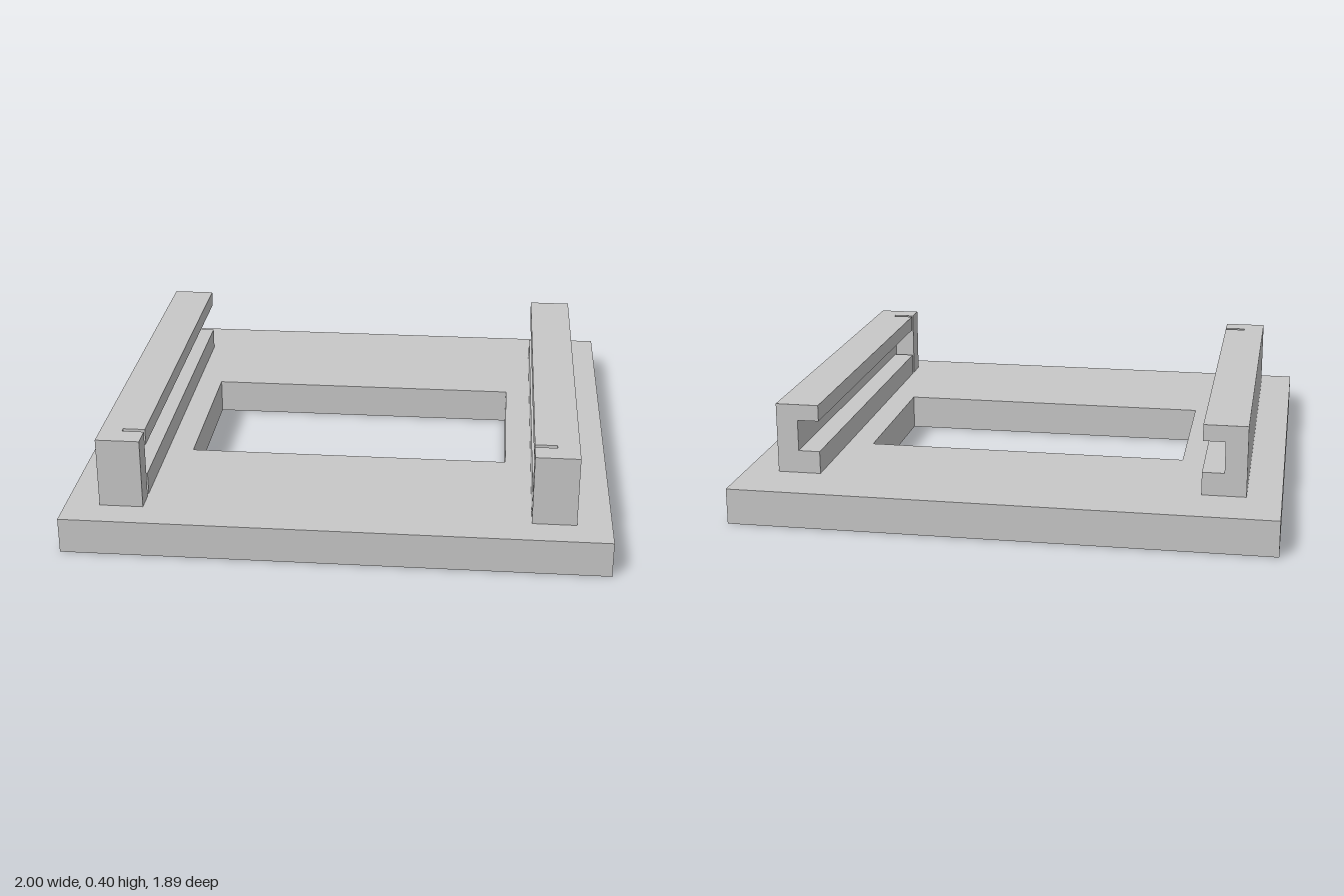
import * as THREE from 'three';

const grey = new THREE.MeshStandardMaterial({ color: 0xc7c7c7 });
grey.name = 'light grey';

const BASE_TOP = 0.134, RAIL_TOP = 0.399;
const INNER = 0.711, GROOVE = 0.792, OUTER = 0.873; // distances from the centre line
const BACK = -0.72, SLOT_BACK = 0.718, SLOT_FRONT = 0.738, FRONT = 0.822;

const toShape = (points) => new THREE.Shape(points.map(([x, y]) => new THREE.Vector2(x, y)));
const extrude = (shape, depth) => new THREE.ExtrudeGeometry(shape, { depth, bevelEnabled: false });

function part(name, geometry) {
  const mesh = new THREE.Mesh(geometry, grey);
  mesh.name = name;
  return mesh;
}

// Extrudes an outline drawn in x and z upwards from y = bottom
function slab(shape, bottom, top) {
  return extrude(shape, top - bottom).rotateX(-Math.PI / 2).translate(0, bottom, 0);
}

const rectangle = (x, z) => [[-x, -z], [x, -z], [x, z], [-x, z]];

function createRail(side, name) {
  const rail = new THREE.Group();
  rail.name = name;

  // C-shaped channel, open at the back and towards the centre
  const profile = [
    [INNER, BASE_TOP], [OUTER, BASE_TOP], [OUTER, RAIL_TOP], [INNER, RAIL_TOP],
    [INNER, 0.338], [GROOVE, 0.338], [GROOVE, 0.22], [INNER, 0.22],
  ].map(([x, y]) => [side * x, y]);
  rail.add(part('channel', extrude(toShape(profile), SLOT_BACK - BACK).translate(0, 0, BACK)));

  // End stop, with the outer wall running back past the narrow upright slot
  const plan = [
    [INNER, FRONT], [OUTER, FRONT], [OUTER, SLOT_BACK],
    [GROOVE, SLOT_BACK], [GROOVE, SLOT_FRONT], [INNER, SLOT_FRONT],
  ].map(([x, z]) => [side * x, -z]);
  rail.add(part('endStop', slab(toShape(plan), BASE_TOP, RAIL_TOP)));
  return rail;
}

export function createModel() {
  const model = new THREE.Group();
  model.name = 'slideMount';

  // Base plate with a rectangular window
  const plate = toShape(rectangle(1, 0.944));
  plate.holes.push(toShape(rectangle(0.613, 0.335)));
  model.add(part('basePlate', slab(plate, 0, BASE_TOP)));

  model.add(createRail(1, 'leftRail'), createRail(-1, 'rightRail'));
  return model;
}
